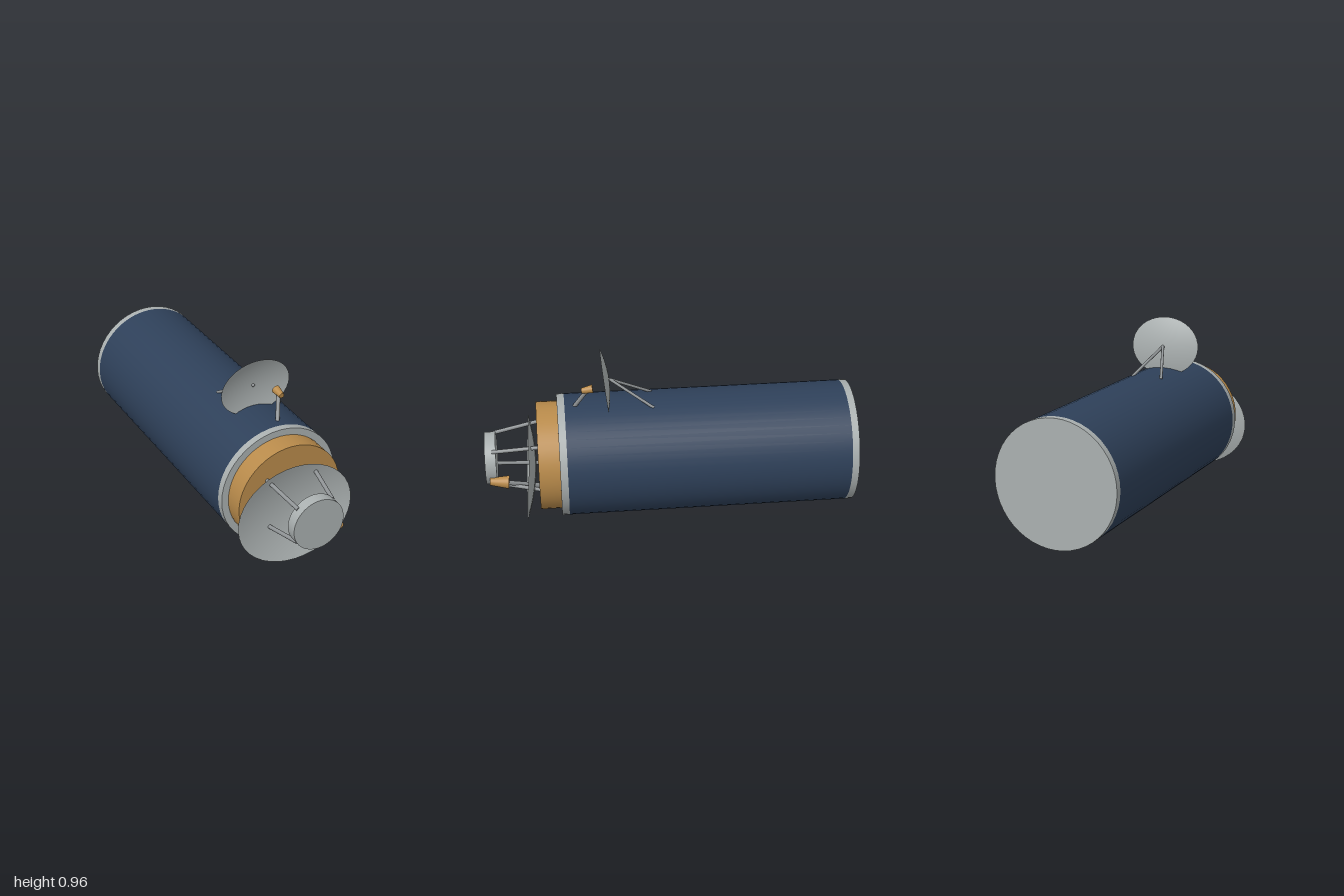
import * as THREE from 'three';

const mat = (name, color, side = THREE.FrontSide) => {
  const m = new THREE.MeshStandardMaterial({ color, side });
  m.name = name;
  return m;
};

export function createModel() {
  const root = new THREE.Group();
  root.name = 'spacecraft';
  const blue = mat('navy panels', 0x2e4059);
  const grey = mat('light grey', 0xaab0b0);
  const dishGrey = mat('dish grey', 0xaab0b0, THREE.DoubleSide);
  const gold = mat('gold foil', 0xb98b4b);
  const metal = mat('strut metal', 0x8e9294);
  const AXIS = 0.347;

  const add = (name, geometry, material, parent = root) => {
    const mesh = new THREE.Mesh(geometry, material);
    mesh.name = name;
    parent.add(mesh);
    return mesh;
  };

  // Drum lying along z between two depths
  const drum = (name, r, z0, z1, material, open = false) => {
    const g = new THREE.CylinderGeometry(r, r, z1 - z0, 48, 1, open);
    g.rotateX(Math.PI / 2);
    add(name, g, material).position.set(0, AXIS, (z0 + z1) / 2);
  };

  // Round bar or cone between two points
  const rod = (name, a, b, r0, r1, material, sides = 12) => {
    const p = new THREE.Vector3(...a), q = new THREE.Vector3(...b);
    const d = q.clone().sub(p);
    const mesh = add(name, new THREE.CylinderGeometry(r1, r0, d.length(), sides), material);
    mesh.position.copy(p).add(q).multiplyScalar(0.5);
    mesh.quaternion.setFromUnitVectors(new THREE.Vector3(0, 1, 0), d.normalize());
  };

  // Shallow elliptical bowl opening toward +z, with its apex at the origin
  const dish = (name, rx, ry, depth, tilt, pos) => {
    const profile = [];
    for (let i = 0; i <= 10; i++) {
      const t = i / 10;
      profile.push(new THREE.Vector2(t, depth * t * t));
    }
    const g = new THREE.LatheGeometry(profile, 40);
    g.rotateX(Math.PI / 2);
    g.scale(rx, ry, 1);
    g.computeVertexNormals();
    const mesh = add(name, g, dishGrey);
    mesh.rotation.x = tilt;
    mesh.position.set(...pos);
  };

  // Main cylindrical body
  drum('rearRing', 0.333, -1, -0.962, grey);
  drum('solarBody', 0.333, -0.962, 0.56, blue, true);
  drum('frontRing', 0.333, 0.56, 0.6, grey);
  drum('goldCollar', 0.295, 0.6, 0.713, gold);
  drum('frontDrum', 0.143, 0.94, 1, grey);

  // Four legs carrying the front drum
  for (const sx of [-1, 1]) {
    for (const sy of [-1, 1]) {
      rod('drumLeg', [sx * 0.136, AXIS + sy * 0.136, 0.705],
        [sx * 0.098, AXIS + sy * 0.098, 0.96], 0.011, 0.011, metal);
    }
  }

  // Front dish with its feed horn
  dish('frontDish', 0.333, 0.273, 0.047, -0.065, [0, 0.274, 0.728]);
  rod('frontFeedArm', [0.062, 0.19, 0.705], [0.138, 0.277, 0.92], 0.013, 0.013, metal);
  rod('frontFeedHorn', [0.143, 0.277, 0.877], [0.139, 0.285, 0.98], 0.036, 0.02, gold, 24);

  // Upper dish with rear braces and feed horn
  dish('upperDish', 0.2, 0.164, 0.028, 0.11, [0, 0.803, 0.315]);
  for (const sx of [-1, 1]) {
    rod('upperDishBrace', [sx * 0.087, 0.665, 0.085], [0, 0.803, 0.312], 0.008, 0.008, metal);
  }
  const knob = add('upperDishKnob', new THREE.SphereGeometry(0.009, 12, 8), metal);
  knob.position.set(0, 0.8, 0.317);
  rod('upperFeedArm', [0.037, 0.665, 0.51], [0.082, 0.79, 0.437], 0.011, 0.011, metal);
  rod('upperFeedHorn', [0.084, 0.798, 0.408], [0.084, 0.79, 0.468], 0.023, 0.014, gold, 24);

  return root;
}
